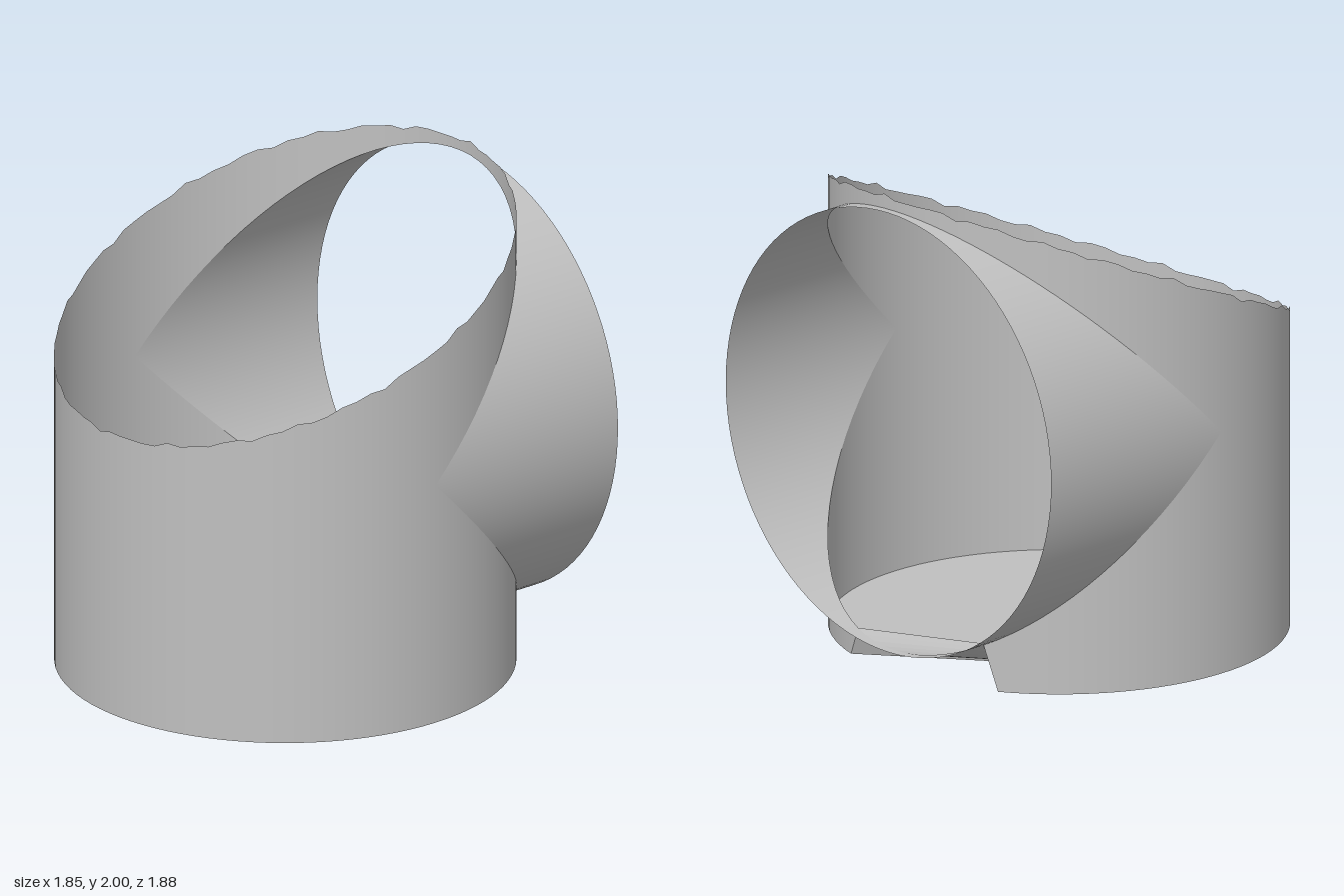
import * as THREE from 'three';

const R = 0.925;        // radius of both cylinders
const CZ = 0.015;       // axis of the upright cylinder
const CY = 1.02;        // axis height of the rear opening
const BACK = -0.945;    // plane of the rear opening
const SEG = 48;         // segments per half turn
const HALF = Math.PI / 2;

// Slanted, slightly ragged top rim
const rim = a => 1.6 - 0.425 * R * Math.cos(a)
  + 0.006 * (Math.sin(23 * a) + Math.sin(41 * a + 1));

// Where the two cylinders cross on the back half
const crossing = (a, side) => CY + side * R * Math.abs(Math.cos(a));

// Bottom edge: the floor folds up to the rear opening over a short stretch
function bottom(a) {
  const x = R * Math.sin(a);
  const lifted = Math.cos(a) < 0 && x > -0.42 && x < 0.26;
  return lifted ? crossing(a, -1) : 0;
}

// Surface strip over angle and length, with smooth cylinder normals
function strip(a0, a1, segments, rows, point, normal) {
  const geo = new THREE.PlaneGeometry(1, 1, segments, rows);
  const p = geo.attributes.position, n = geo.attributes.normal;
  for (let i = 0; i < p.count; i++) {
    const a = a0 + (a1 - a0) * (p.getX(i) + 0.5);
    const v = 0.5 - p.getY(i);
    p.setXYZ(i, ...point(a, v));
    n.setXYZ(i, ...normal(a));
  }
  return geo;
}

// Upright wall between a top and a bottom curve
function wall(a0, top, low) {
  return strip(a0, a0 + Math.PI, SEG, 6,
    (a, v) => [R * Math.sin(a), top(a) + (low(a) - top(a)) * v, CZ + R * Math.cos(a)],
    a => [Math.sin(a), 0, Math.cos(a)]);
}

// Floor as a fan from the left-hand end, following the bottom edge
function floorGeometry() {
  const at = k => {
    const a = 3 * HALF + (k * Math.PI) / SEG;
    return [R * Math.sin(a), bottom(a), CZ + R * Math.cos(a)];
  };
  const pos = [];
  for (let k = 1; k < 2 * SEG - 1; k++) pos.push(...at(0), ...at(k + 1), ...at(k));
  const geo = new THREE.BufferGeometry();
  geo.setAttribute('position', new THREE.Float32BufferAttribute(pos, 3));
  geo.computeVertexNormals();
  return geo;
}

export function createModel() {
  const group = new THREE.Group();
  group.name = 'openPipeElbow';
  const grey = new THREE.MeshStandardMaterial({ color: 0xc0c0c0, side: THREE.DoubleSide });
  grey.name = 'plainGrey';

  const add = (name, geo) => {
    const mesh = new THREE.Mesh(geo, grey);
    mesh.name = name;
    group.add(mesh);
  };

  // Upright cylinder
  add('frontWall', wall(-HALF, rim, () => 0));
  add('backWallUpper', wall(HALF, rim, a => crossing(a, 1)));
  add('backWallLower', wall(HALF, a => crossing(a, -1), bottom));

  // Horizontal cylinder running out to the rear opening
  add('rearTube', strip(0, 2 * Math.PI, 2 * SEG, 6,
    (a, v) => [R * Math.sin(a), CY + R * Math.cos(a),
      BACK + (CZ - R * Math.abs(Math.cos(a)) - BACK) * v],
    a => [Math.sin(a), Math.cos(a), 0]));

  add('floor', floorGeometry());
  return group;
}
